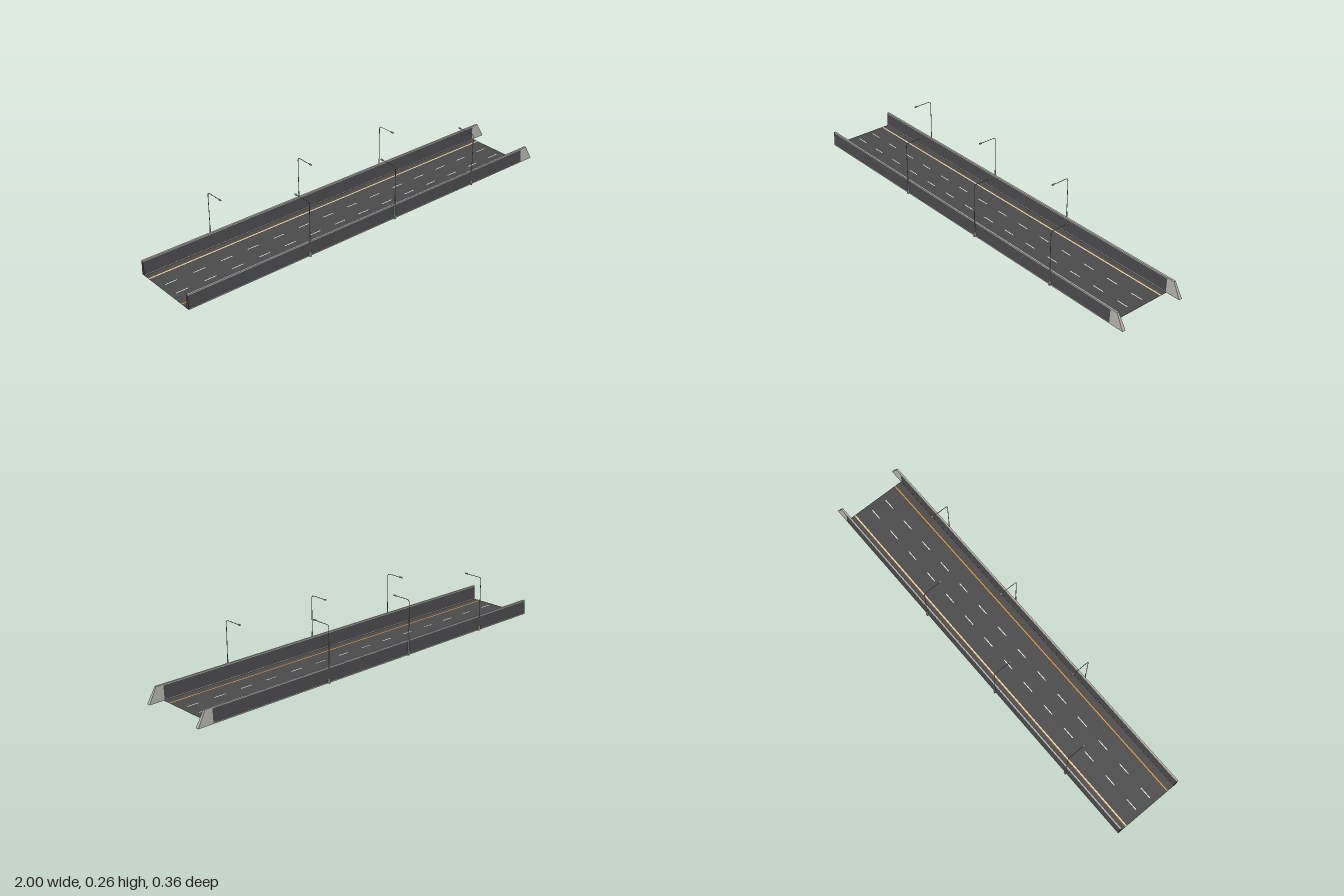
import * as THREE from 'three';

export function createModel() {
  const mat = (name, color) => {
    const m = new THREE.MeshStandardMaterial({ color });
    m.name = name;
    return m;
  };
  const asphalt = mat('asphalt', 0x4b4b4b);
  const wallGrey = mat('wall grey', 0x4a4a4c);
  const concrete = mat('concrete', 0xb3b2ac);
  const steel = mat('steel', 0x84847f);
  const white = mat('white paint', 0xeeeeea);
  const orange = mat('orange paint', 0xe8982a);

  const model = new THREE.Group();
  model.name = 'roadSegment';
  const add = (parent, name, geometry, material, x = 0, y = 0, z = 0) => {
    const mesh = new THREE.Mesh(geometry, material);
    mesh.name = name;
    mesh.position.set(x, y, z);
    parent.add(mesh);
    return mesh;
  };

  // Profile of [y, z] points swept through the x stations, one material per cell
  function sweep(parent, name, xs, profile, materials, cellMaterial) {
    const buckets = materials.map(() => []);
    for (let i = 0; i + 1 < xs.length; i++) {
      for (let j = 0; j + 1 < profile.length; j++) {
        const a = [xs[i], ...profile[j]], b = [xs[i + 1], ...profile[j]];
        const c = [xs[i + 1], ...profile[j + 1]], d = [xs[i], ...profile[j + 1]];
        buckets[materials.indexOf(cellMaterial(i, j))].push(...a, ...d, ...c, ...a, ...c, ...b);
      }
    }
    const g = new THREE.BufferGeometry();
    g.setAttribute('position', new THREE.Float32BufferAttribute(buckets.flat(), 3));
    let start = 0;
    buckets.forEach((bucket, k) => {
      g.addGroup(start, bucket.length / 3, k);
      start += bucket.length / 3;
    });
    g.computeVertexNormals();
    return add(parent, name, g, materials);
  }

  const X0 = -1, X1 = 0.93, LEN = X1 - X0, MID = (X0 + X1) / 2;

  // Road surface: bands across z, dashed bands painted on every other x cell
  const bands = [
    { to: -0.1275, paint: asphalt },
    { to: -0.124, paint: orange },
    { to: -0.12, paint: white },
    { to: -0.045, paint: asphalt },
    { to: -0.041, paint: white, dashed: true },
    { to: 0.036, paint: asphalt },
    { to: 0.04, paint: white, dashed: true },
    { to: 0.1155, paint: asphalt },
    { to: 0.1205, paint: orange },
    { to: 0.163, paint: asphalt },
  ];
  const stations = [X0];
  for (let i = 13; i >= 0; i--) {
    const x = 0.87 - i * 0.1395;
    stations.push(x - 0.029, x + 0.029);
  }
  stations.push(X1);
  const DECK_Y = 0.0005;
  sweep(model, 'roadDeck', stations,
    [[DECK_Y, -0.163], ...bands.map((b) => [DECK_Y, b.to])],
    [asphalt, white, orange],
    (i, j) => (bands[j].dashed && i % 2 === 0 ? asphalt : bands[j].paint));

  // Underside of the deck
  const underside = new THREE.PlaneGeometry(LEN, 0.34).rotateX(Math.PI / 2);
  add(model, 'roadUnderside', underside, asphalt, MID, 0, 0);

  // Barrier cross-section, up one side and down the other
  const halfWidth = (y) => 0.008 - 0.0035 * (y / 0.07);
  const heights = [0, 0.004, 0.065, 0.07];
  const section = [
    ...heights.map((y) => [y, -halfWidth(y)]),
    ...heights.slice().reverse().map((y) => [y, halfWidth(y)]),
  ];
  const outline = new THREE.Shape(section.map(([y, z]) => new THREE.Vector2(z, y)));
  const endFace = new THREE.ShapeGeometry(outline).rotateY(-Math.PI / 2);

  // Sloping end block: a box with its corners moved to the taper
  const endBlock = new THREE.BoxGeometry(2, 2, 2);
  const p = endBlock.attributes.position;
  for (let i = 0; i < p.count; i++) {
    const y = p.getY(i) > 0 ? 0.07 : 0;
    const x = p.getX(i) < 0 ? X1 - 0.004 : y > 0 ? 0.962 : 1;
    p.setXYZ(i, x, y, Math.sign(p.getZ(i)) * halfWidth(y));
  }
  endBlock.computeVertexNormals();

  // Barriers with a pale foot and coping
  for (const side of [1, -1]) {
    const barrier = new THREE.Group();
    barrier.name = side > 0 ? 'frontBarrier' : 'backBarrier';
    barrier.position.z = side * 0.163;
    sweep(barrier, 'barrierWall', [X0, X1 - 0.004], section, [wallGrey, concrete],
      (i, j) => (j === 1 || j === 5 ? wallGrey : concrete));
    add(barrier, 'barrierStartFace', endFace, wallGrey, X0);
    add(barrier, 'barrierEnd', endBlock, concrete);
    model.add(barrier);
  }

  // Street lamp, arm reaching towards -z
  const armPath = new THREE.CurvePath();
  const v = (y, z) => new THREE.Vector3(0, y, z);
  armPath.add(new THREE.LineCurve3(v(0.085, 0), v(0.247, 0)));
  armPath.add(new THREE.QuadraticBezierCurve3(v(0.247, 0), v(0.261, 0), v(0.261, -0.014)));
  armPath.add(new THREE.LineCurve3(v(0.261, -0.014), v(0.261, -0.084)));
  const poleGeo = new THREE.TubeGeometry(armPath, 80, 0.0014, 24, false);
  const stemGeo = new THREE.CylinderGeometry(0.0025, 0.0035, 0.07, 32);
  const baseGeo = new THREE.BoxGeometry(0.009, 0.02, 0.009);
  const headGeo = new THREE.BoxGeometry(0.006, 0.005, 0.014);

  function lamp(x, side) {
    const g = new THREE.Group();
    g.name = 'streetLamp';
    add(g, 'lampBase', baseGeo, concrete, 0, 0.01, 0);
    add(g, 'lampStem', stemGeo, concrete, 0, 0.055, 0);
    add(g, 'lampPole', poleGeo, steel);
    add(g, 'lampHead', headGeo, concrete, 0, 0.2615, -0.088);
    g.position.set(x, 0, side * 0.1735);
    if (side < 0) g.rotation.y = Math.PI;
    model.add(g);
  }
  for (const x of [-0.385, 0.098, 0.582]) lamp(x, 1);
  for (const x of [-0.653, -0.17, 0.314]) lamp(x, -1);

  return model;
}
